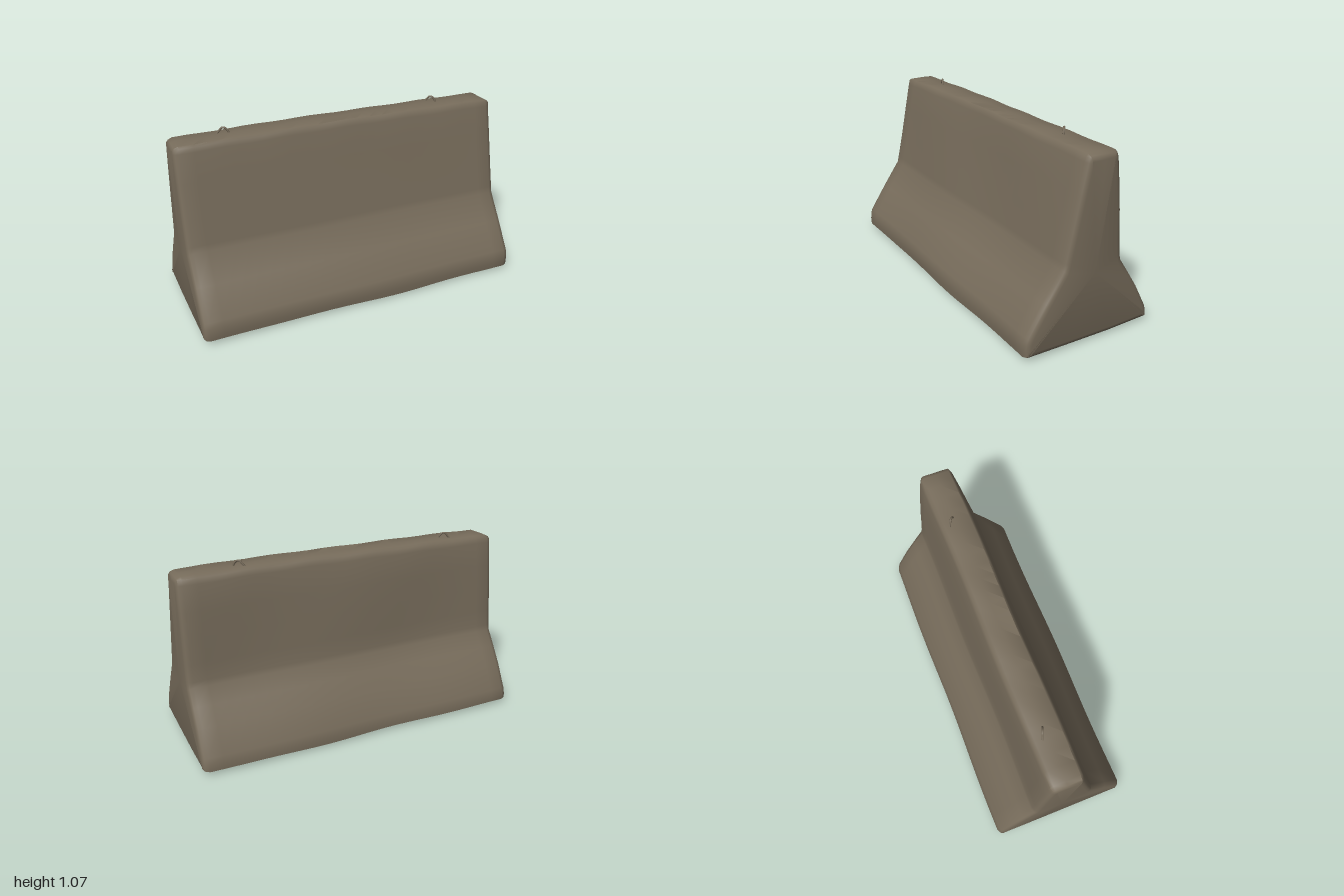
import * as THREE from 'three';
import { toCreasedNormals } from 'three/addons/utils/BufferGeometryUtils.js';

// Cross-section of the barrier as [z, y], from the front foot over the top to the back
const profile = [
  [0.385, 0.018], [0.405, 0.026], [0.408, 0.06], [0.405, 0.1], [0.394, 0.135], [0.29, 0.297], [0.185, 0.452],
  [0.177, 0.49], [0.145, 0.64], [0.105, 0.84], [0.072, 1.0], [0.064, 1.026], [0.052, 1.037],
  [-0.03, 1.037], [-0.1, 1.037], [-0.118, 1.026], [-0.128, 0.995], [-0.145, 0.85], [-0.16, 0.71], [-0.172, 0.56],
  [-0.182, 0.46], [-0.19, 0.428], [-0.25, 0.34], [-0.315, 0.24], [-0.39, 0.1], [-0.402, 0.06],
  [-0.403, 0.026], [-0.385, 0.018], [-0.13, 0.008], [0.15, 0.014],
].map(([z, y]) => new THREE.Vector2(z, y));

// Shrinks the cross-section inward by d, for the rounded ends
function inset(d) {
  const n = profile.length;
  return profile.map((p, j) => {
    const t = profile[(j + 1) % n].clone().sub(profile[(j + n - 1) % n]).normalize();
    return new THREE.Vector2(p.x - t.y * d, p.y + t.x * d);
  });
}

// Slight unevenness of the weathered concrete
function weather(x, y, z) {
  const side = Math.sign(z + 0.03);
  const dz = side * 0.004 * Math.sin(x * 5.3 + y * 4 + side) * Math.min(1, Math.abs(z + 0.03) * 10);
  let dy = 0;
  if (y > 0.95) dy = 0.008 * (1 - x * x) - 0.004 + 0.002 * Math.sin(x * 17 + z * 20);
  if (y < 0.05) dy = -0.007 * Math.exp(-((x - 0.3) ** 2) / 0.1) + 0.002 * Math.sin(x * 9 + z * 8);
  return [x, Math.max(0, y + dy), z + dz];
}

// Loft the cross-section along x and close both ends
function barrierGeometry() {
  const bevel = [[0, 0.034], [0.004, 0.02], [0.012, 0.009], [0.035, 0]];
  const stations = bevel.map(([s, d]) => [-0.998 + s, d]);
  for (let i = 1; i < 24; i++) stations.push([-0.963 + (i / 24) * 1.921, 0]);
  for (const [s, d] of [...bevel].reverse()) stations.push([0.993 - s, d]);

  const n = profile.length, pos = [], idx = [];
  for (const [x, d] of stations) for (const p of inset(d)) pos.push(...weather(x, p.y, p.x));
  const last = (stations.length - 1) * n, c0 = stations.length * n;
  pos.push(-0.998, 0.4, -0.01, 0.993, 0.4, -0.01);
  for (let j = 0; j < n; j++) {
    const k = (j + 1) % n;
    for (let i = 0; i < last; i += n) {
      idx.push(i + j, i + n + j, i + n + k, i + j, i + n + k, i + k);
    }
    idx.push(c0, j, k, c0 + 1, last + k, last + j);
  }
  const g = new THREE.BufferGeometry();
  g.setAttribute('position', new THREE.Float32BufferAttribute(pos, 3));
  g.setIndex(idx);
  return toCreasedNormals(g, 0.75);
}

// Bent steel bar, pointed at the top
function liftingLoopGeometry() {
  const path = new THREE.CatmullRomCurve3([
    [-0.045, -0.015, -0.014], [-0.022, 0.012, -0.008], [-0.008, 0.029, -0.003], [0.006, 0.03, 0.003],
    [0.022, 0.014, 0.01], [0.03, -0.015, 0.014],
  ].map((p) => new THREE.Vector3(...p)));
  return new THREE.TubeGeometry(path, 18, 0.006, 6);
}

export function createModel() {
  const concrete = new THREE.MeshStandardMaterial({ color: 0x776c5b });
  concrete.name = 'weathered concrete';

  const model = new THREE.Group();
  model.name = 'concreteBarrier';

  const body = new THREE.Mesh(barrierGeometry(), concrete);
  body.name = 'barrierBody';
  model.add(body);

  const loopGeometry = liftingLoopGeometry();
  for (const [name, x, z, turn] of [['rightLiftingLoop', -0.69, -0.045, 0], ['leftLiftingLoop', 0.63, -0.055, -0.25]]) {
    const loop = new THREE.Mesh(loopGeometry, concrete);
    loop.name = name;
    loop.position.set(x, 1.036, z);
    loop.rotation.y = turn;
    model.add(loop);
  }
  return model;
}
